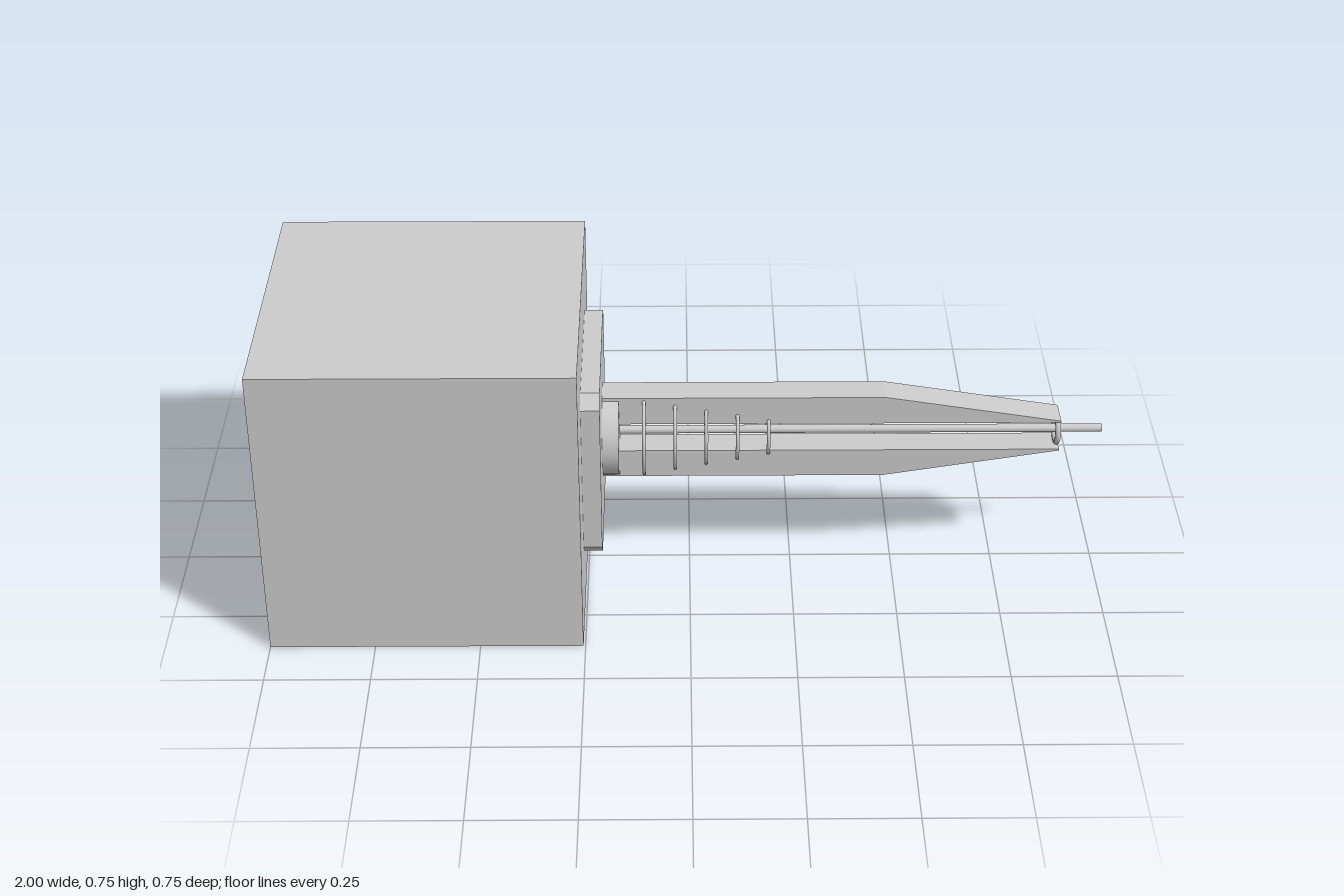
import * as THREE from 'three';

const CY = 0.373; // height of the central axis

export function createModel() {
  const model = new THREE.Group();
  const flat = new THREE.MeshStandardMaterial({ color: 0xcccccc, flatShading: true });
  const smooth = new THREE.MeshStandardMaterial({ color: 0xcccccc });

  const add = (name, geometry, material, x) => {
    const mesh = new THREE.Mesh(geometry, material);
    mesh.name = name;
    mesh.position.set(x, CY, 0);
    model.add(mesh);
    return mesh;
  };
  // Cylinder and torus lying along the x axis
  const rod = (r, x0, x1) =>
    new THREE.CylinderGeometry(r, r, x1 - x0, 32).rotateZ(-Math.PI / 2).translate((x0 + x1) / 2, 0, 0);
  const ring = (r, tube) => new THREE.TorusGeometry(r, tube, 10, 48).rotateY(Math.PI / 2);
  const polygon = (points) => new THREE.Shape(points.map(([x, y]) => new THREE.Vector2(x, y)));

  // Main block
  add('body', new THREE.BoxGeometry(0.745, 0.746, 0.746), flat, -0.6275);

  // Mounting plate with cut corners
  const h = 0.223, c = 0.192;
  const plate = new THREE.ExtrudeGeometry(
    polygon([[-c, -h], [c, -h], [h, -c], [h, c], [c, h], [-c, h], [-h, c], [-h, -c]]),
    { depth: 0.045, bevelEnabled: false }
  ).rotateY(Math.PI / 2);
  add('mountingPlate', plate, flat, -0.255);

  // Collar and central rod
  add('collar', rod(0.11, -0.21, -0.17), smooth, 0);
  add('centralRod', rod(0.01, -0.2, 1), smooth, 0);

  // Tapered rails above and below the rod
  for (const [name, turn] of [['upperRail', 0], ['lowerRail', Math.PI]]) {
    const rail = new THREE.ExtrudeGeometry(
      polygon([[-0.21, 0.038], [0.895, 0.038], [0.895, 0.042], [0.47, 0.111], [-0.21, 0.111]]),
      { depth: 0.074, bevelEnabled: false }
    ).translate(0, 0, -0.037);
    add(name, rail, flat, 0).rotation.x = turn;
  }

  // Coil rings shrinking toward the tip
  for (let i = 0; i < 5; i++) {
    add(`coilRing${i + 1}`, ring(0.107 - i * 0.0122, 0.0045), smooth, -0.11 + i * 0.075);
  }

  // Ring at the tip
  add('tipRing', ring(0.034, 0.007), smooth, 0.89);

  return model;
}
